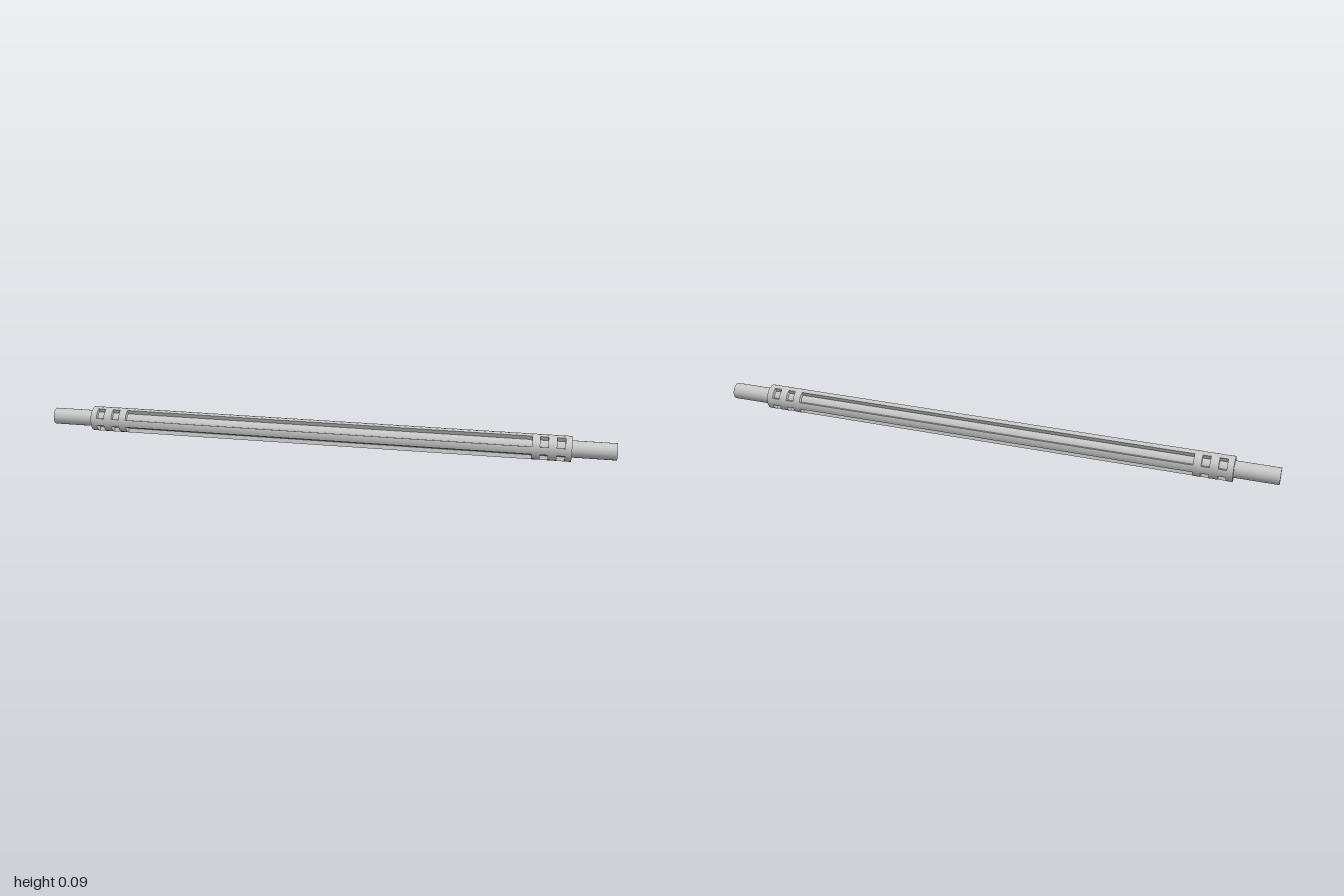
import * as THREE from 'three';
import { toCreasedNormals } from 'three/addons/utils/BufferGeometryUtils.js';

const SIDES = 20;
const OUTER = 0.0437;
const INNER = 0.029;

// Slotted sleeve along x: a grid of cells around the axis, some left open.
function sleeveGeometry() {
  const half = [0.719, 0.746, 0.773, 0.802, 0.829, 0.851];
  const xs = [...half.map((x) => -x).reverse(), ...half];
  // Open spans alternate with solid rings; four ribs run the full length.
  const solid = (i, j) => {
    if (i < 0 || i >= xs.length - 1) return false;
    const k = ((j % 5) + 5) % 5;
    const rib = k === 0 || k === 4;
    return rib || i % 2 === 0;
  };
  const point = (i, j, r) => {
    const a = (j / SIDES) * Math.PI * 2;
    return [xs[i], r * Math.cos(a), r * Math.sin(a)];
  };
  const pos = [];
  const quad = (a, b, c, d) => pos.push(...a, ...b, ...c, ...a, ...c, ...d);

  for (let i = 0; i < xs.length - 1; i++) {
    for (let j = 0; j < SIDES; j++) {
      if (!solid(i, j)) continue;
      const p = (di, dj, r) => point(i + di, j + dj, r);
      // outer skin
      quad(p(0, 0, OUTER), p(1, 0, OUTER), p(1, 1, OUTER), p(0, 1, OUTER));
      // walls towards open neighbours
      if (!solid(i + 1, j)) quad(p(1, 0, INNER), p(1, 1, INNER), p(1, 1, OUTER), p(1, 0, OUTER));
      if (!solid(i - 1, j)) quad(p(0, 0, INNER), p(0, 0, OUTER), p(0, 1, OUTER), p(0, 1, INNER));
      if (!solid(i, j + 1)) quad(p(0, 1, INNER), p(0, 1, OUTER), p(1, 1, OUTER), p(1, 1, INNER));
      if (!solid(i, j - 1)) quad(p(0, 0, INNER), p(1, 0, INNER), p(1, 0, OUTER), p(0, 0, OUTER));
    }
  }
  const geo = new THREE.BufferGeometry();
  geo.setAttribute('position', new THREE.Float32BufferAttribute(pos, 3));
  return toCreasedNormals(geo, 0.6);
}

export function createModel() {
  const group = new THREE.Group();
  group.name = 'slottedShaft';
  const material = new THREE.MeshStandardMaterial({ color: 0xcccccc, side: THREE.DoubleSide });

  // Core rod, seen at both ends and as the floor of the slots
  const rod = new THREE.Mesh(
    new THREE.CylinderGeometry(INNER, INNER, 2, SIDES).rotateZ(Math.PI / 2),
    material
  );
  rod.name = 'coreRod';

  // Sleeve with four long grooves and two rows of windows at each end
  const sleeve = new THREE.Mesh(sleeveGeometry(), material);
  sleeve.name = 'slottedSleeve';

  for (const mesh of [rod, sleeve]) {
    mesh.position.y = OUTER;
    group.add(mesh);
  }
  return group;
}
